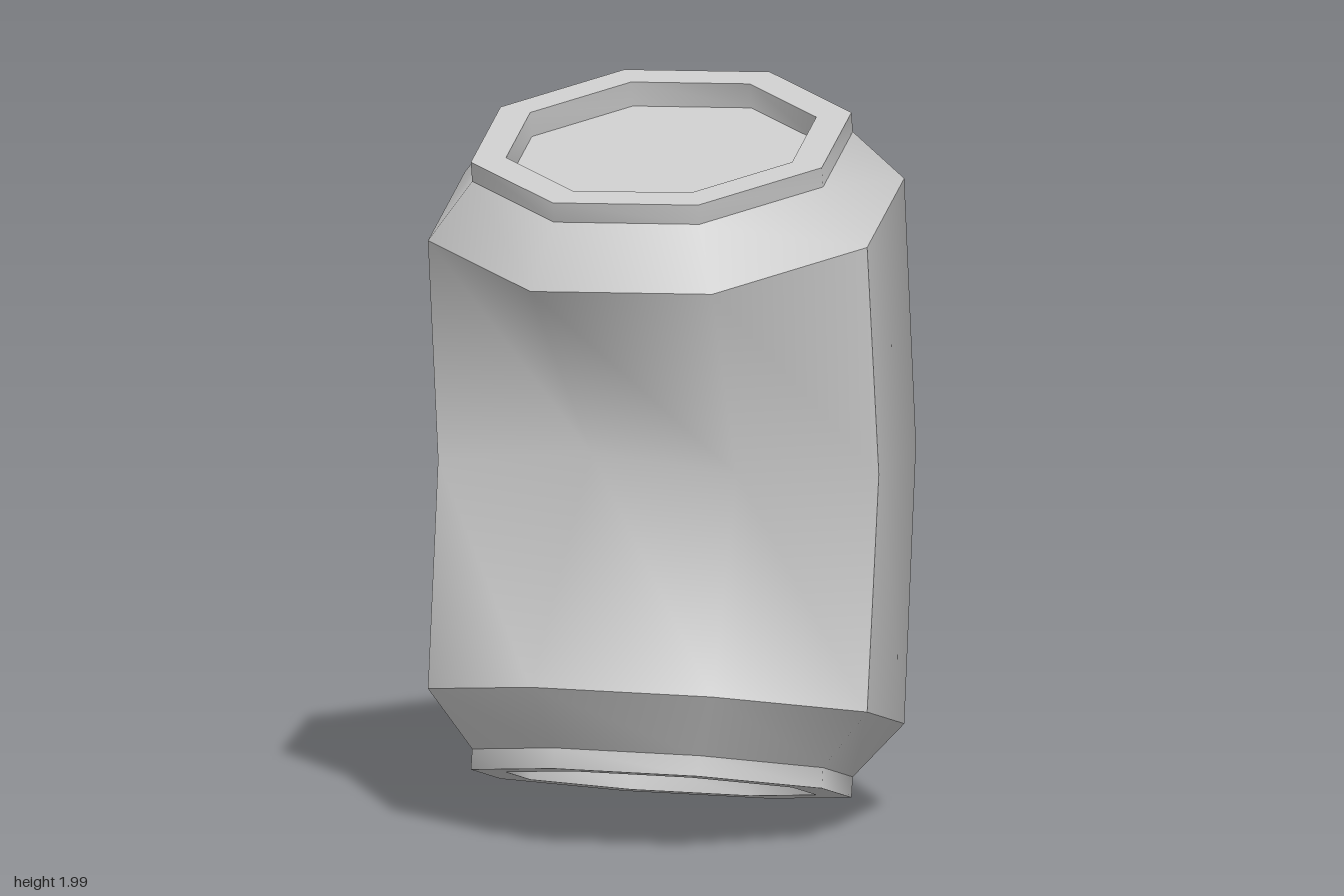
import * as THREE from 'three';

const SIDES = 8;
const material = new THREE.MeshStandardMaterial({ color: 0xcccccc });

// Tilted axis of the upper end of the bent can
const axis = new THREE.Vector3(0.067, 1, 0.216).normalize();
const across = new THREE.Vector3(1, -0.067, 0).normalize();
const forward = new THREE.Vector3().crossVectors(across, axis).normalize();
const rimCentre = new THREE.Vector3(0.025, 1.885, 0.094);

// Octagon of the given radius, a given depth below the upper rim
function ring(radius, depth) {
  return Array.from({ length: SIDES }, (_, i) => {
    const a = (i / SIDES) * Math.PI * 2;
    return rimCentre.clone()
      .addScaledVector(axis, -depth)
      .addScaledVector(across, radius * Math.cos(a))
      .addScaledVector(forward, radius * Math.sin(a));
  });
}

// The lower end mirrors the upper end
const mirrored = (points) => points.map((p) => new THREE.Vector3(p.x, 2 - p.y, p.z));

// Smooth skin over a chain of rings, from column 'from' to column 'to'
function skin(name, rings, from = 0, to = SIDES) {
  const index = [];
  for (let r = 0; r < rings.length - 1; r++) {
    for (let i = from; i < to; i++) {
      const a = r * SIDES + (i % SIDES);
      const b = r * SIDES + ((i + 1) % SIDES);
      index.push(a, b, a + SIDES, b, b + SIDES, a + SIDES);
    }
  }
  const geometry = new THREE.BufferGeometry().setFromPoints(rings.flat());
  geometry.setIndex(index);
  geometry.computeVertexNormals();
  const mesh = new THREE.Mesh(geometry, material);
  mesh.name = name;
  return mesh;
}

export function createModel() {
  const group = new THREE.Group();
  group.name = 'crushedCan';

  // End profile: recessed lid, rim and shoulder
  const lidCentre = ring(0, 0.07);
  const lidEdge = ring(0.428, 0.07);
  const rimInner = ring(0.428, 0);
  const rimOuter = ring(0.525, 0);
  const rimBase = ring(0.525, 0.056);
  const shoulder = ring(0.657, 0.21);
  const profile = [lidCentre, lidEdge, rimInner, rimOuter, rimBase, shoulder];
  const names = ['Lid', 'RimInnerWall', 'RimTop', 'RimSide', 'Shoulder'];

  names.forEach((name, i) => {
    const pair = [profile[i], profile[i + 1]];
    group.add(skin('upper' + name, pair));
    group.add(skin('lower' + name, pair.map(mirrored).reverse()));
  });

  // Waist ring, shifted back by the bend
  const waist = Array.from({ length: SIDES }, (_, i) => {
    const a = (i / SIDES) * Math.PI * 2;
    return new THREE.Vector3(-0.015 + 0.658 * Math.cos(a), 1, -0.042 + 0.658 * Math.sin(a));
  });
  // Dent pushed into the front
  waist[1].set(0.39, 1.02, 0.27);
  waist[2].set(-0.03, 1.05, 0.35);

  // Body, creased along both edges of the dent
  const body = [shoulder, waist, mirrored(shoulder)];
  group.add(skin('dentedFront', body, 0, 3));
  group.add(skin('bodyBack', body, 3, 8));

  return group;
}
